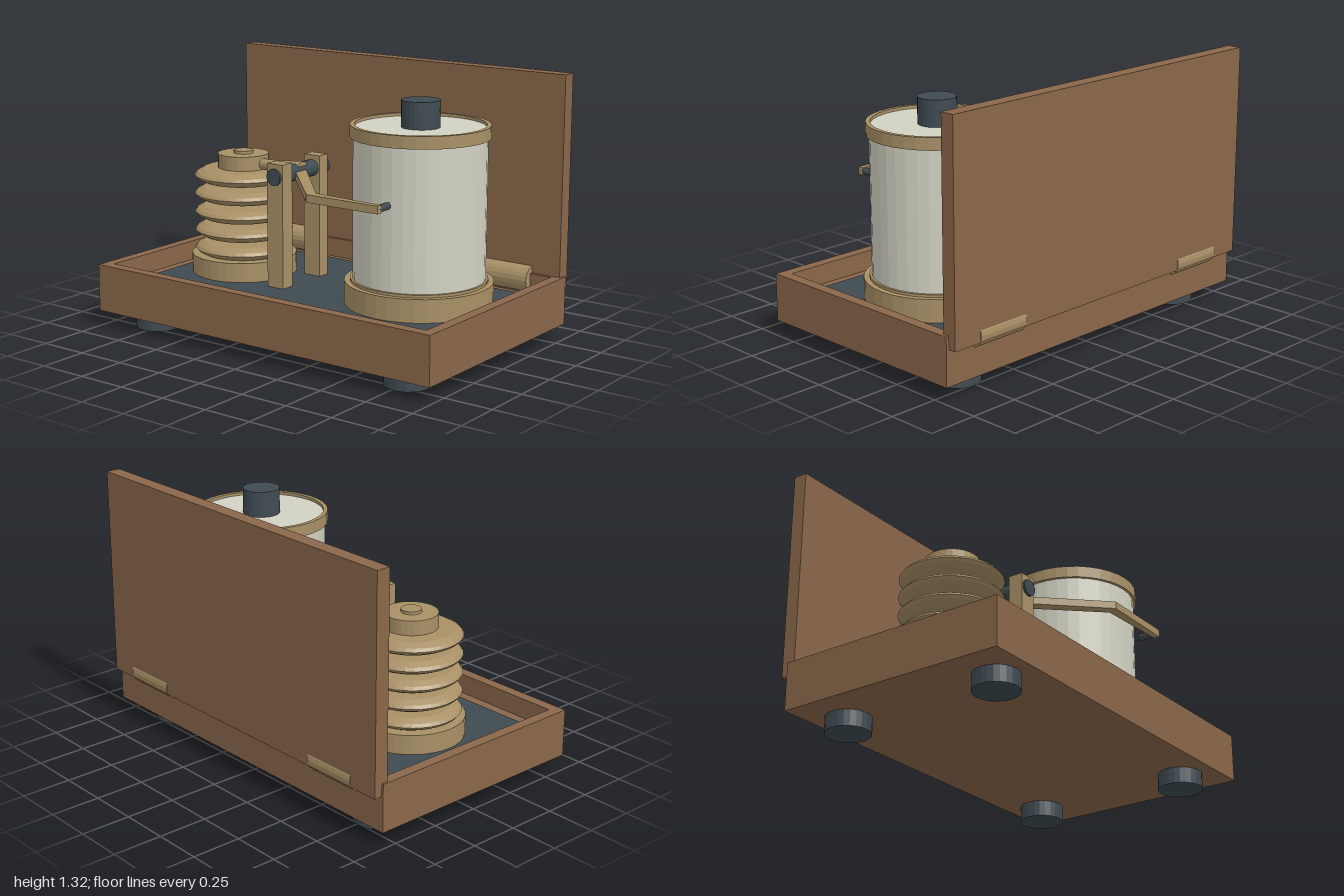
import * as THREE from 'three';

const mat = (name, color) => {
  const m = new THREE.MeshStandardMaterial({ color });
  m.name = name;
  return m;
};

export function createModel() {
  const model = new THREE.Group();
  const wood = mat('wood', 0x8a674a);
  const dark = mat('dark metal', 0x3f4b52);
  const brass = mat('brass', 0xa89066);
  const paper = mat('paper', 0xd2d2c3);

  const add = (name, geo, material, x = 0, y = 0, z = 0, parent = model) => {
    const mesh = new THREE.Mesh(geo, material);
    mesh.name = name;
    mesh.position.set(x, y, z);
    parent.add(mesh);
    return mesh;
  };
  const group = (name, x = 0, z = 0) => {
    const g = new THREE.Group();
    g.name = name;
    g.position.set(x, 0, z);
    model.add(g);
    return g;
  };
  // Faceted geometry: every face gets its own normal
  const facet = (geo) => {
    const g = geo.index ? geo.toNonIndexed() : geo;
    g.computeVertexNormals();
    return g;
  };
  const box = (x0, x1, y0, y1, z0, z1) =>
    new THREE.BoxGeometry(x1 - x0, y1 - y0, z1 - z0)
      .translate((x0 + x1) / 2, (y0 + y1) / 2, (z0 + z1) / 2);
  const drum = (r, y0, y1, n = 36) =>
    facet(new THREE.CylinderGeometry(r, r, y1 - y0, n)).translate(0, (y0 + y1) / 2, 0);
  const lathe = (pts, n = 36) =>
    facet(new THREE.LatheGeometry(pts.map((p) => new THREE.Vector2(...p)), n));
  // Plan outline in x and z, extruded downward from its top height
  const slab = (shape, top, depth) =>
    new THREE.ExtrudeGeometry(shape, { depth, bevelEnabled: false })
      .rotateX(Math.PI / 2).translate(0, top, 0);
  const outline = (pts) => new THREE.Shape(pts.map((p) => new THREE.Vector2(...p)));
  const rect = (x, z0, z1) => outline([[-x, z0], [x, z0], [x, z1], [-x, z1]]);

  // Tray with a sunken floor
  const tray = group('tray');
  const frame = rect(1, -0.58, 0.62);
  frame.holes.push(rect(0.945, -0.53, 0.565));
  add('trayWalls', slab(frame, 0.32, 0.24), wood, 0, 0, 0, tray);
  add('trayFloor', box(-0.945, 0.945, 0.08, 0.22, -0.53, 0.565), wood, 0, 0, 0, tray);
  add('deckPlate', box(-0.855, 0.85, 0.22, 0.24, -0.445, 0.485), dark, 0, 0, 0, tray);

  // Feet
  for (const x of [-0.765, 0.765])
    for (const z of [-0.4, 0.443]) add('foot', drum(0.11, 0, 0.08, 24), dark, x, 0, z);

  // Open lid and its hinges
  add('lid', box(-0.99, 0.985, 0.256, 1.32, -0.62, -0.547), wood);
  for (const x of [-0.685, 0.685])
    add('hinge', facet(new THREE.CylinderGeometry(0.069, 0.069, 0.29, 20)).rotateZ(Math.PI / 2),
      brass, x, 0.288, -0.557);

  // Recording drum
  const rec = group('recordingDrum', 0.513, -0.017);
  add('drumBase', drum(0.36, 0.24, 0.353), brass, 0, 0, 0, rec);
  add('drumBaseStep', drum(0.332, 0.353, 0.366), brass, 0, 0, 0, rec);
  add('chart', drum(0.32, 0.366, 1.095), paper, 0, 0, 0, rec);
  add('drumRim', lathe([[0.313, 1.05], [0.335, 1.05], [0.335, 1.11], [0.313, 1.11], [0.313, 1.05]]),
    brass, 0, 0, 0, rec);
  add('drumKnob', drum(0.093, 1.09, 1.225, 24), dark, 0, 0, 0, rec);

  // Stack of pressure capsules
  const stack = group('capsuleStack', -0.547, 0.015);
  add('stackBase', drum(0.268, 0.24, 0.338), brass, 0, 0, 0, stack);
  add('stackStem', drum(0.052, 0.33, 0.79, 20), brass, 0, 0, 0, stack);
  const capsule = lathe([[0, -0.038], [0.08, -0.038], [0.205, -0.032], [0.238, -0.015],
    [0.25, 0], [0.238, 0.015], [0.205, 0.032], [0.08, 0.038], [0, 0.038]]);
  for (let i = 0; i < 5; i++) add('capsule', capsule, brass, 0, 0.367 + i * 0.0945, 0, stack);
  add('stackCap', drum(0.13, 0.775, 0.853, 28), brass, 0, 0, 0, stack);
  add('stackButton', drum(0.05, 0.853, 0.868, 20), brass, 0, 0, 0, stack);

  // Posts carrying the pivot axle
  for (const [z0, z1] of [[-0.163, -0.095], [0.125, 0.202]])
    add('post', box(-0.243, -0.146, 0.24, 0.865, z0, z1), brass);
  add('axle', facet(new THREE.CylinderGeometry(0.042, 0.042, 0.405, 20)).rotateX(Math.PI / 2),
    dark, -0.194, 0.8, 0.012);

  // Link from the stack to the axle
  const along = (r0, r1, x0, x1) =>
    facet(new THREE.CylinderGeometry(r1, r0, x1 - x0, 16)).rotateZ(-Math.PI / 2)
      .translate((x0 + x1) / 2, 0, 0);
  add('linkRod', along(0.028, 0.028, -0.45, -0.28), brass, 0, 0.81, 0.017);
  add('linkHub', along(0.036, 0.046, -0.29, -0.165), brass, 0, 0.807, 0.017);

  // Bent pen arm and nib
  add('penArm', slab(outline([[-0.2, 0], [-0.155, 0], [0.215, 0.405], [0.6, 0.425],
    [0.6, 0.455], [0.195, 0.455], [-0.155, 0.085], [-0.2, 0.06]]), 0.81, 0.038), brass);
  add('penNib', facet(new THREE.CylinderGeometry(0.018, 0.018, 0.085, 12)).rotateX(Math.PI / 2),
    dark, 0.583, 0.79, 0.392);

  return model;
}
